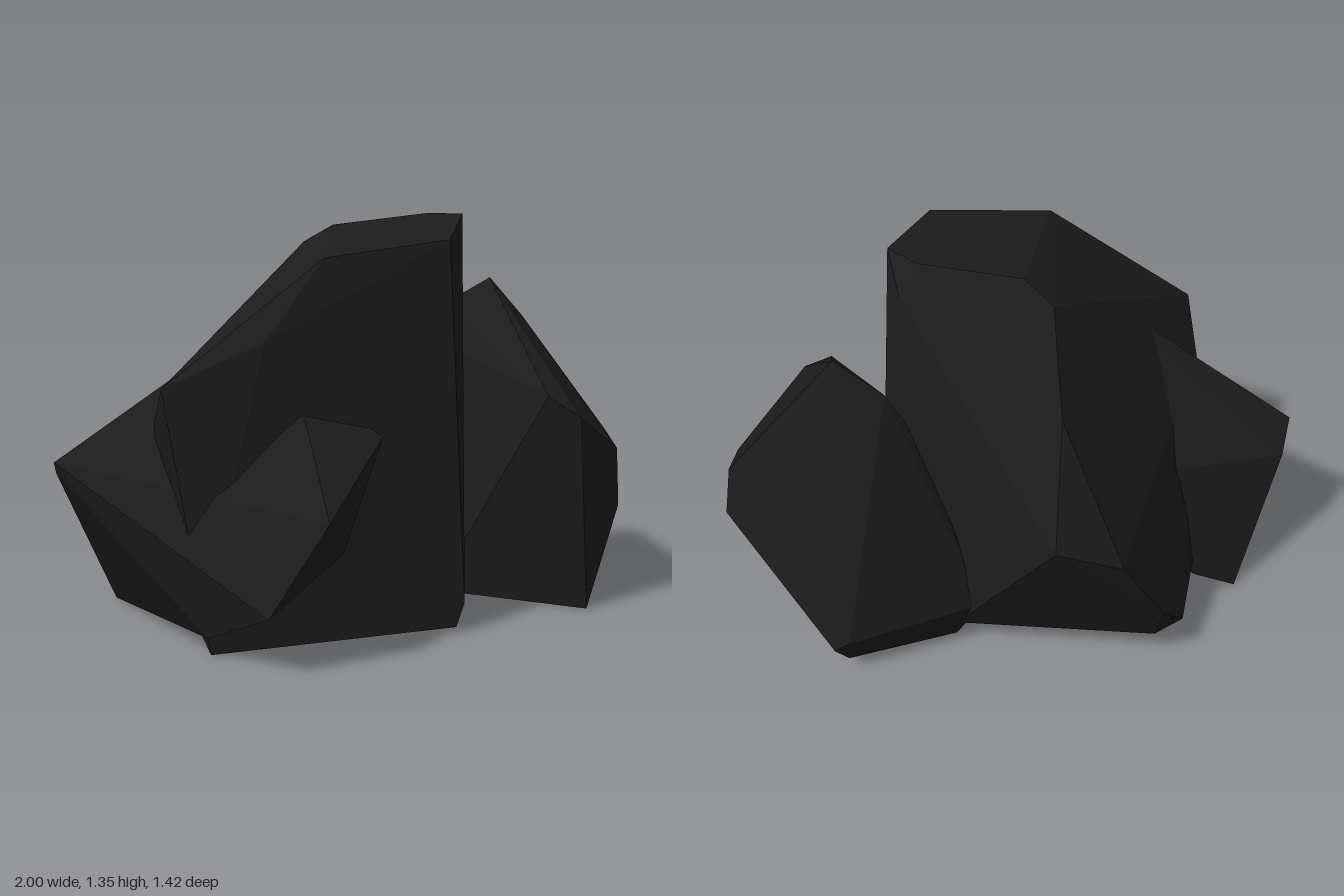
import * as THREE from 'three';
import { ConvexGeometry } from 'three/addons/geometries/ConvexGeometry.js';

// A faceted boulder: the convex hull of its corner points
function boulder(name, corners, material) {
  const geometry = new ConvexGeometry(corners.map((c) => new THREE.Vector3(...c)));
  const mesh = new THREE.Mesh(geometry, material);
  mesh.name = name;
  return mesh;
}

export function createModel() {
  const group = new THREE.Group();
  group.name = 'rockCluster';
  const stone = new THREE.MeshStandardMaterial({ color: 0x1c1c1c });
  stone.name = 'charcoal stone';

  // Tall central boulder
  group.add(boulder('mainBoulder', [
    // crown
    [0.16, 1.28, 0.42], [0.38, 1.35, 0.1], [0.31, 1.35, -0.02], [0.38, 1.25, -0.04],
    [0, 1.31, -0.14], [-0.07, 1.25, -0.23], [-0.26, 1.23, 0.38], [-0.01, 1.02, -0.51],
    // left shoulder
    [-0.47, 0.98, 0.4], [-0.77, 0.84, 0.3], [-0.74, 0.7, 0.12], [-0.57, 0.15, -0.36],
    // right wall
    [0.44, 0.77, 0], [0.38, 0.56, 0.13], [0.35, 0.04, 0.15],
    // back
    [0.06, 0.63, -0.68], [-0.16, 0.54, -0.715], [-0.33, 0.25, -0.67],
    [-0.33, 0.1, -0.61], [-0.45, 0.1, -0.57], [0.3, 0.08, -0.34],
    // base
    [0.19, 0.1, 0.49], [0.16, 0.02, 0.49], [-0.65, 0.005, 0.38], [-0.67, 0.12, 0.38],
  ], stone));

  // Upright boulder on the left side
  group.add(boulder('leftBoulder', [
    // peak
    [0.62, 1.11, -0.12], [0.74, 0.97, -0.09], [0.48, 1.01, -0.21], [0.42, 0.9, -0.22],
    // front ridge
    [0.54, 0.75, 0.42], [0.63, 0.68, 0.485], [0.7, 0, 0.44],
    // outer side
    [0.92, 0.52, 0.28], [0.94, 0.31, 0.27], [1, 0.38, 0.12], [0.97, 0.56, 0.13],
    // back and base
    [0.74, 0.13, -0.4], [0.69, 0.17, -0.42], [0.69, 0.05, -0.37], [0.22, 0.19, -0.39],
    [0.31, 0.55, -0.29], [0.3, 0.03, -0.34], [0.3, 0.02, 0.08],
  ], stone));

  // Low boulder leaning out at the right front
  group.add(boulder('rightBoulder', [
    // top
    [-0.44, 0.97, 0.06], [-0.45, 0.53, -0.28], [-0.35, 0.74, 0.43], [-0.1, 0.67, 0.47],
    // front nose
    [-0.39, 0.47, 0.71], [-0.57, 0.19, 0.67], [-0.24, 0.31, 0.48],
    // outer side and back
    [-1, 0.55, -0.15], [-0.99, 0.51, -0.16], [-0.94, 0.46, -0.24],
    // base
    [-0.74, 0, -0.37], [-0.57, 0.1, -0.37], [-0.66, 0.06, 0.38],
  ], stone));

  return group;
}
